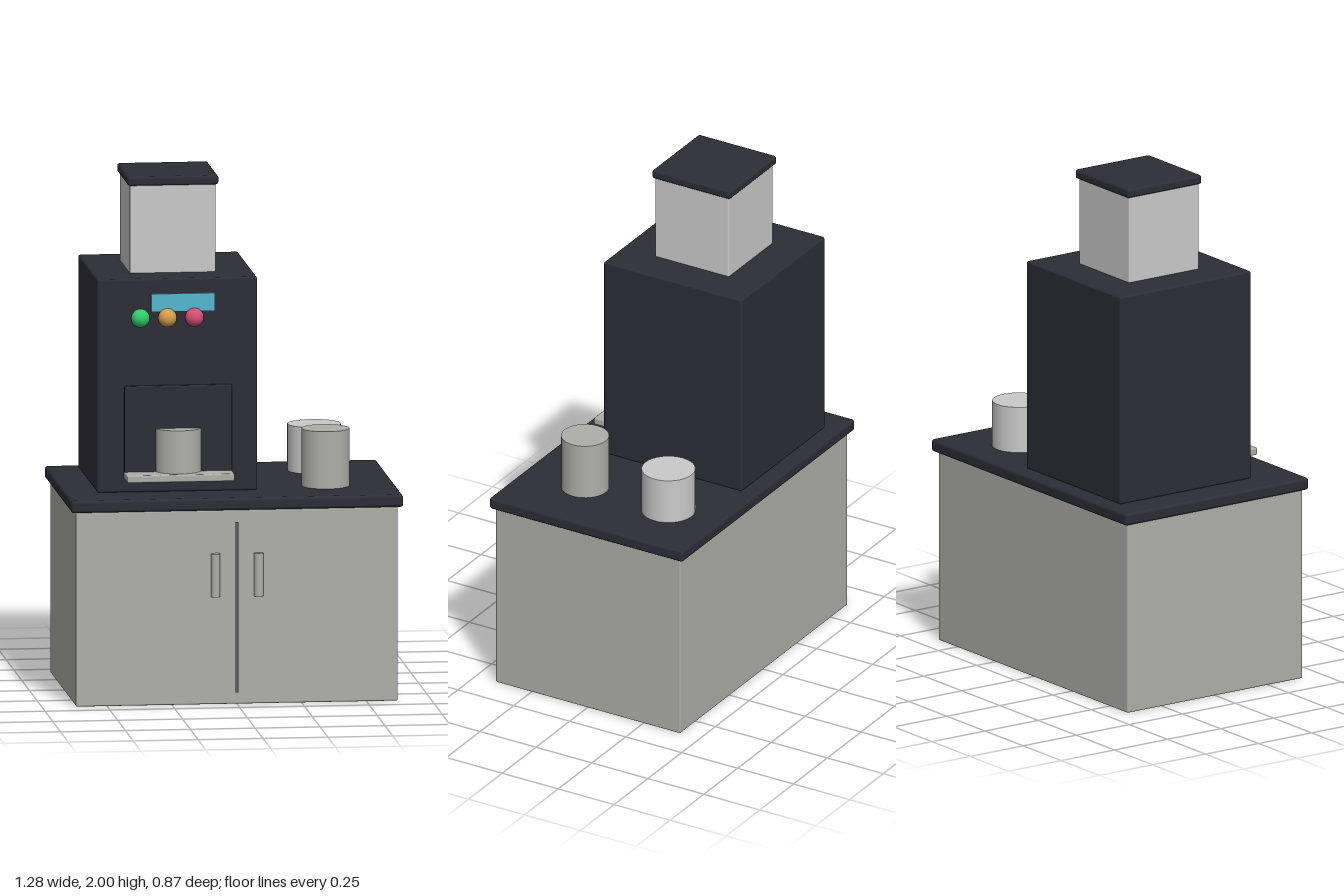
import * as THREE from 'three';
import { RoundedBoxGeometry } from 'three/addons/geometries/RoundedBoxGeometry.js';

const mat = (name, color) => Object.assign(new THREE.MeshStandardMaterial({ color }), { name });

export function createModel() {
  const root = new THREE.Group();
  root.name = 'coffeeStation';

  const dark = mat('charcoal', 0x2d2d37);
  const steel = mat('warmGrey', 0xafafa9);
  const pale = mat('paleGrey', 0xcacaca);
  const seamGrey = mat('seamGrey', 0x5c5c60);
  const cyan = mat('screenCyan', 0x56b8d0);
  const green = mat('buttonGreen', 0x2fcb6b);
  const amber = mat('buttonAmber', 0xd39e4a);
  const pink = mat('buttonPink', 0xd64c74);

  const add = (parent, name, geometry, material, x, y, z) => {
    const mesh = new THREE.Mesh(geometry, material);
    mesh.name = name;
    mesh.position.set(x, y, z);
    parent.add(mesh);
    return mesh;
  };
  // Softly bevelled box given by its minimum and maximum corners
  const box = (parent, name, material, [x0, y0, z0], [x1, y1, z1], bevel = 0.006) =>
    add(parent, name, new RoundedBoxGeometry(x1 - x0, y1 - y0, z1 - z0, 2, bevel), material,
      (x0 + x1) / 2, (y0 + y1) / 2, (z0 + z1) / 2);
  // Upright cylinder standing on y0
  const post = (parent, name, material, r, y0, y1, x, z) =>
    add(parent, name, new THREE.CylinderGeometry(r, r, y1 - y0, 32), material, x, (y0 + y1) / 2, z);
  const group = (name) => {
    const g = new THREE.Group();
    g.name = name;
    root.add(g);
    return g;
  };

  // Cabinet with two doors and a worktop
  const cabinet = group('cabinet');
  box(cabinet, 'cabinetBody', steel, [-0.62, 0, -0.415], [0.62, 0.752, 0.41]);
  box(cabinet, 'worktop', dark, [-0.64, 0.752, -0.437], [0.64, 0.8, 0.428], 0.012);
  add(cabinet, 'doorSeam', new THREE.BoxGeometry(0.012, 0.66, 0.012), seamGrey, 0, 0.375, 0.412);
  for (const side of [-1, 1]) {
    post(cabinet, side < 0 ? 'rightHandle' : 'leftHandle', steel, 0.0175, 0.418, 0.585, side * 0.083, 0.419);
  }

  // Coffee machine with its bean hopper
  const machine = group('machine');
  box(machine, 'machineBody', dark, [-0.518, 0.8, -0.376], [0.099, 1.626, 0.242], 0.008);
  box(machine, 'hopper', pale, [-0.375, 1.62, -0.231], [-0.045, 1.97, 0.099]);
  box(machine, 'hopperLid', dark, [-0.384, 1.964, -0.242], [-0.034, 2, 0.107], 0.01);
  box(machine, 'brewPanel', dark, [-0.414, 0.855, 0.2], [0, 1.213, 0.26]);
  box(machine, 'dripTray', steel, [-0.415, 0.852, 0.2], [0, 0.881, 0.346]);
  post(machine, 'brewCup', steel, 0.09, 0.88, 1.048, -0.207, 0.236);

  // Display and its three round buttons
  add(machine, 'screen', new THREE.BoxGeometry(0.245, 0.07, 0.009), cyan, -0.188, 1.533, 0.2455);
  [green, amber, pink].forEach((m, i) =>
    add(machine, 'button' + (i + 1), new THREE.SphereGeometry(0.036, 24, 16), m, -0.353 + i * 0.104, 1.476, 0.255));

  // Canisters on the worktop
  const canisters = group('canisters');
  post(canisters, 'frontCanister', steel, 0.092, 0.8, 1.022, 0.371, 0.16);
  post(canisters, 'backCanister', pale, 0.103, 0.8, 0.98, 0.372, -0.213);

  return root;
}
